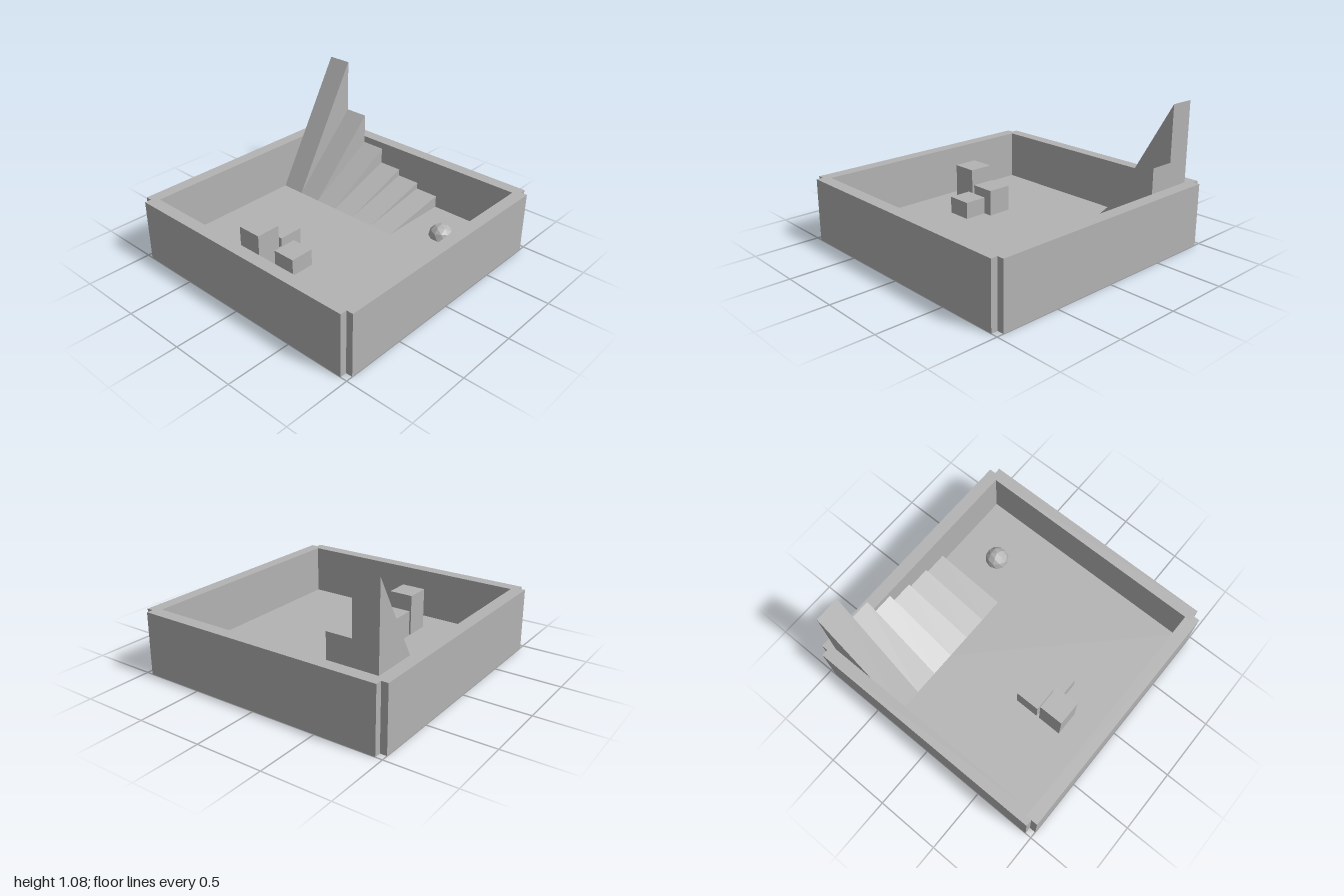
import * as THREE from 'three';

export function createModel() {
  const group = new THREE.Group();
  const grey = new THREE.MeshStandardMaterial({ color: 0xb3b3b3 });
  grey.name = 'plain grey';
  grey.flatShading = true;

  const add = (name, geometry, x = 0, y = 0, z = 0) => {
    const mesh = new THREE.Mesh(geometry, grey);
    mesh.name = name;
    mesh.position.set(x, y, z);
    group.add(mesh);
    return mesh;
  };
  // Box given by its extents on each axis
  const box = (name, x0, x1, y0, y1, z0, z1) =>
    add(name, new THREE.BoxGeometry(x1 - x0, y1 - y0, z1 - z0),
      (x0 + x1) / 2, (y0 + y1) / 2, (z0 + z1) / 2);

  const inner = 0.905, wallEnd = 0.95, wallTop = 0.475, floorY = 0.092;

  // Four walls, stopping short of the outer corners to leave notches
  const thick = 1 - inner, mid = (1 + inner) / 2;
  for (const [side, s] of [['left', 1], ['right', -1]]) {
    add(side + 'Wall', new THREE.BoxGeometry(thick, wallTop, wallEnd * 2), s * mid, wallTop / 2, 0);
  }
  for (const [side, s] of [['front', 1], ['back', -1]]) {
    add(side + 'Wall', new THREE.BoxGeometry(wallEnd * 2, wallTop, thick), 0, wallTop / 2, s * mid);
  }

  // Raised floor
  box('floor', -inner, inner, floorY - 0.006, floorY, -inner, inner);

  // Row of ramps against the left wall, from steep at the back to shallow
  const foot = 0.335, rampWidth = 0.19, run = inner - foot;
  [60, 45, 30, 19.5, 14.5, 9.5].forEach((angle, i) => {
    const rise = run * Math.tan(THREE.MathUtils.degToRad(angle));
    const profile = new THREE.Shape([
      new THREE.Vector2(foot, 0),
      new THREE.Vector2(inner, 0),
      new THREE.Vector2(inner, rise),
    ]);
    const wedge = new THREE.ExtrudeGeometry(profile, { depth: rampWidth, bevelEnabled: false });
    add('ramp' + (i + 1), wedge, 0, floorY, -inner + i * rampWidth);
  });

  // Cluster of three blocks, sunk a little through the floor
  const sunk = 0.062;
  box('tallBlock', -0.69, -0.5, sunk, 0.408, -0.287, -0.098);
  box('middleBlock', -0.477, -0.288, sunk, 0.292, -0.287, -0.098);
  box('lowBlock', -0.545, -0.356, sunk, 0.222, -0.108, 0.081);

  // Faceted ball, half buried, with a vertex turned upward
  const ball = new THREE.IcosahedronGeometry(0.094, 1);
  ball.rotateZ(Math.atan(2 / (1 + Math.sqrt(5))));
  add('ball', ball, 0.585, 0.097, 0.525);

  return group;
}
